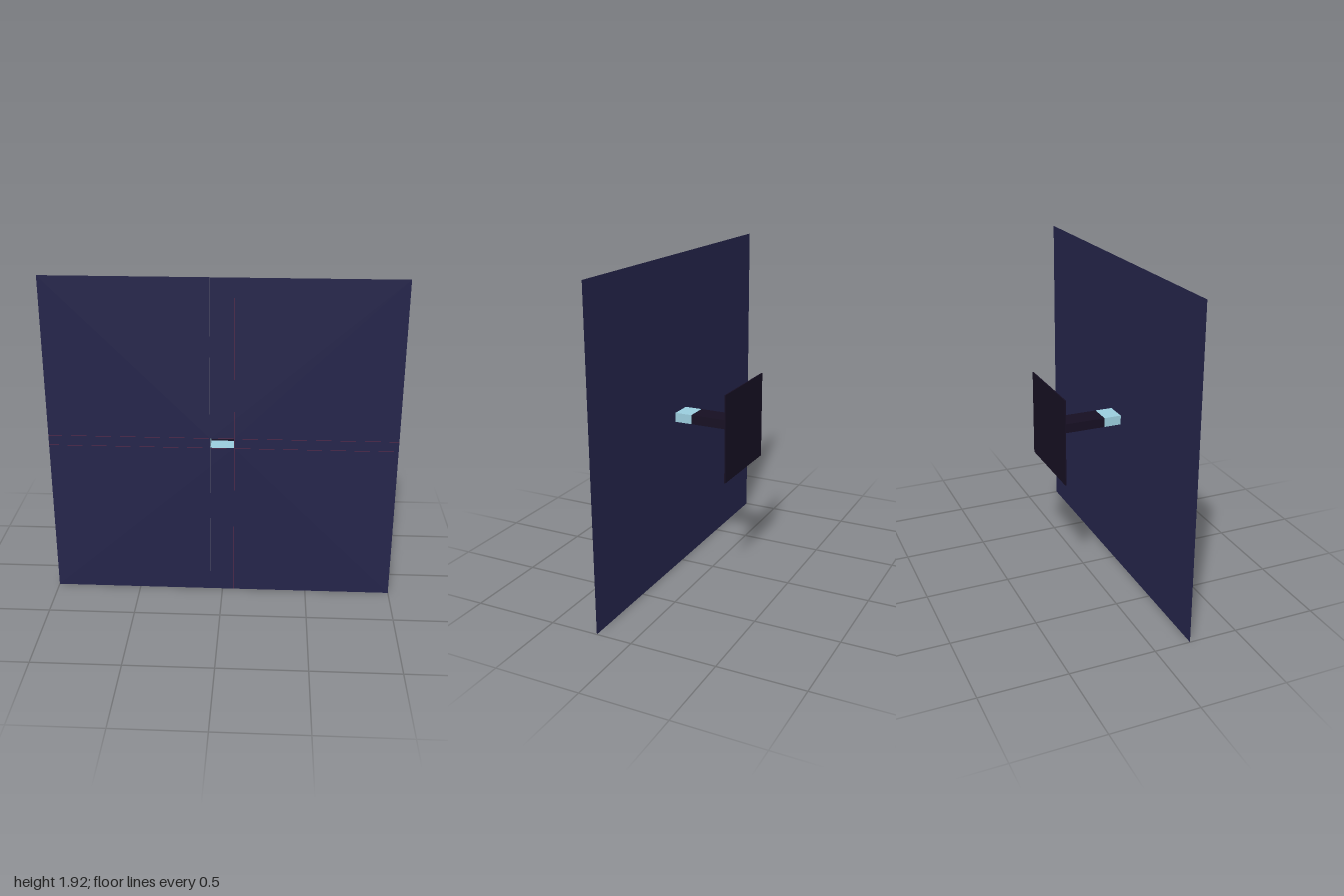
import * as THREE from 'three';

const WALL_Z = 0.213, TOP = 1.925;
const X0 = -0.068, X1 = 0.066, Y0 = 0.935, Y1 = 0.991; // window opening

const paint = (color) => new THREE.MeshStandardMaterial({ color, side: THREE.DoubleSide });

function rect(path, x0, y0, x1, y1) {
  path.moveTo(x0, y0).lineTo(x1, y0).lineTo(x1, y1).lineTo(x0, y1).closePath();
  return path;
}

export function createModel() {
  const model = new THREE.Group();
  const add = (name, geometry, material, x = 0, y = 0, z = 0) => {
    const mesh = new THREE.Mesh(geometry, material);
    mesh.name = name;
    mesh.position.set(x, y, z);
    model.add(mesh);
    return mesh;
  };

  // Thin wall with a small rectangular window
  const wall = rect(new THREE.Shape(), -1, 0, 1, TOP);
  wall.holes.push(rect(new THREE.Path(), X0, Y0, X1, Y1));
  add('wall', new THREE.ShapeGeometry(wall), paint(0x24244a), 0, 0, WALL_Z);

  // Hairline seams running out from the window edges
  const red = paint(0x6a2c48), grey = paint(0x55556a);
  const line = 0.002, seamZ = WALL_Z + 0.0006;
  for (const [y, mat] of [[Y0 - line, red], [Y1 + line, red]])
    add('horizontalSeam', new THREE.PlaneGeometry(2, line), mat, 0, y, seamZ);
  for (const [x, mat] of [[X0 - line, grey], [X1 + line, red]])
    add('verticalSeam', new THREE.PlaneGeometry(line, TOP), mat, x, TOP / 2, seamZ);

  // Open four-sided passage: pale reveal behind the wall, dark duct after it
  const passage = (name, zBack, zFront, color) => {
    const depth = zFront - zBack, z = (zFront + zBack) / 2;
    const mat = paint(color);
    for (const x of [X0, X1])
      add(name + 'Side', new THREE.PlaneGeometry(depth, Y1 - Y0), mat, x, (Y0 + Y1) / 2, z)
        .rotation.y = Math.sign(x) * Math.PI / 2;
    for (const y of [Y0, Y1])
      add(name + (y === Y0 ? 'Floor' : 'Ceiling'), new THREE.PlaneGeometry(X1 - X0, depth), mat, (X0 + X1) / 2, y, z)
        .rotation.x = (y === Y0 ? 1 : -1) * Math.PI / 2;
  };
  passage('reveal', 0.108, WALL_Z, 0x9accdc);
  passage('duct', -0.152, 0.108, 0x160f22);

  // Dark backing panel standing clear of the duct
  add('backPanel', new THREE.BoxGeometry(0.515, 0.52, 0.007), paint(0x160f22), 0.017, 0.95, -0.2085);

  return model;
}
